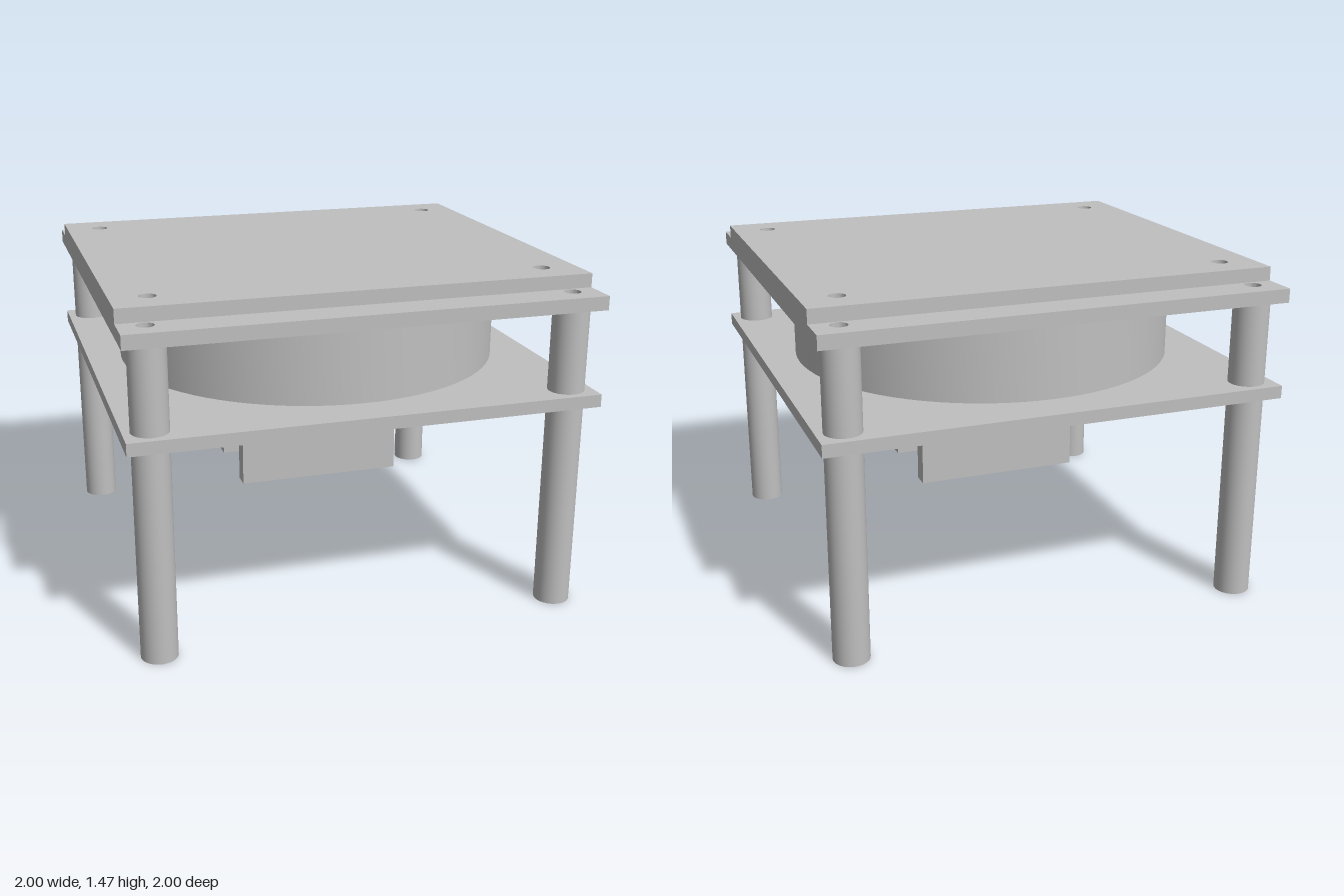
import * as THREE from 'three';
import { toCreasedNormals } from 'three/addons/utils/BufferGeometryUtils.js';

const BOLT = 0.89, BORE = 0.036;

// Closed rectangle outline, in x and -z
function rect(Type, x0, y0, x1, y1) {
  const p = new Type();
  p.moveTo(x0, y0);
  p.lineTo(x1, y0);
  p.lineTo(x1, y1);
  p.lineTo(x0, y1);
  p.closePath();
  return p;
}

function disc(Type, x, y, r) {
  const p = new Type();
  p.absarc(x, y, r, 0, Math.PI * 2, false);
  return p;
}

// Four mirrored round holes
function fourHoles(x, z, r) {
  const holes = [];
  for (const sx of [-1, 1]) for (const sz of [-1, 1]) holes.push(disc(THREE.Path, sx * x, sz * z, r));
  return holes;
}

export function createModel() {
  const group = new THREE.Group();
  const grey = new THREE.MeshStandardMaterial({ color: 0xc0c0c0 });
  grey.name = 'plain grey';

  // Upright extrusion of a flat outline between two heights
  function slab(name, shape, holes, y0, y1, segments = 14) {
    shape.holes.push(...holes);
    const geo = new THREE.ExtrudeGeometry(shape, { depth: y1 - y0, bevelEnabled: false, curveSegments: segments });
    geo.rotateX(-Math.PI / 2);
    geo.translate(0, y0, 0);
    const mesh = new THREE.Mesh(toCreasedNormals(geo, 0.6), grey);
    mesh.name = name;
    group.add(mesh);
    return mesh;
  }

  const plate = (hx, hz) => rect(THREE.Shape, -hx, -hz, hx, hz);
  const pocket = () => rect(THREE.Path, -0.17, 0.28, 0.17, 0.6);
  const boltHoles = () => fourHoles(BOLT, BOLT, BORE);
  const screwHoles = () => fourHoles(0.845, 0.69, BORE);

  // Stacked plates
  slab('middlePlate', plate(1, 1), [...boltHoles(), pocket()], 0.93, 0.985);
  slab('upperPlate', plate(1, 1), [...boltHoles(), ...screwHoles()], 1.35, 1.41);
  slab('topPlate', plate(1, 0.847), screwHoles(), 1.41, 1.47);

  // Drum between the plates, with the cable pocket running through it
  slab('drum', disc(THREE.Shape, 0, 0, 0.86), [pocket()], 1.0, 1.335, 40);

  // Hollow legs and the spacers above them
  for (const sx of [-1, 1]) {
    for (const sz of [-1, 1]) {
      for (const [name, y0, y1] of [['leg', 0, 0.93], ['spacer', 0.985, 1.35]]) {
        const tube = slab(name, disc(THREE.Shape, 0, 0, 0.078), [disc(THREE.Path, 0, 0, BORE)], y0, y1);
        tube.position.set(sx * BOLT, 0, sz * BOLT);
      }
    }
  }

  // Bracket hanging below the middle plate
  const mountHoles = [-0.35, 0.35].map((x) => disc(THREE.Path, x, 0, 0.03));
  slab('bracketPlate', plate(0.447, 0.26), mountHoles, 0.87, 0.93);
  for (const z of [-0.2, 0.2]) {
    const cheek = new THREE.Mesh(new THREE.BoxGeometry(0.734, 0.437, 0.075), grey);
    cheek.name = 'bracketCheek';
    cheek.position.set(0, 0.6515, z);
    group.add(cheek);
  }

  return group;
}
